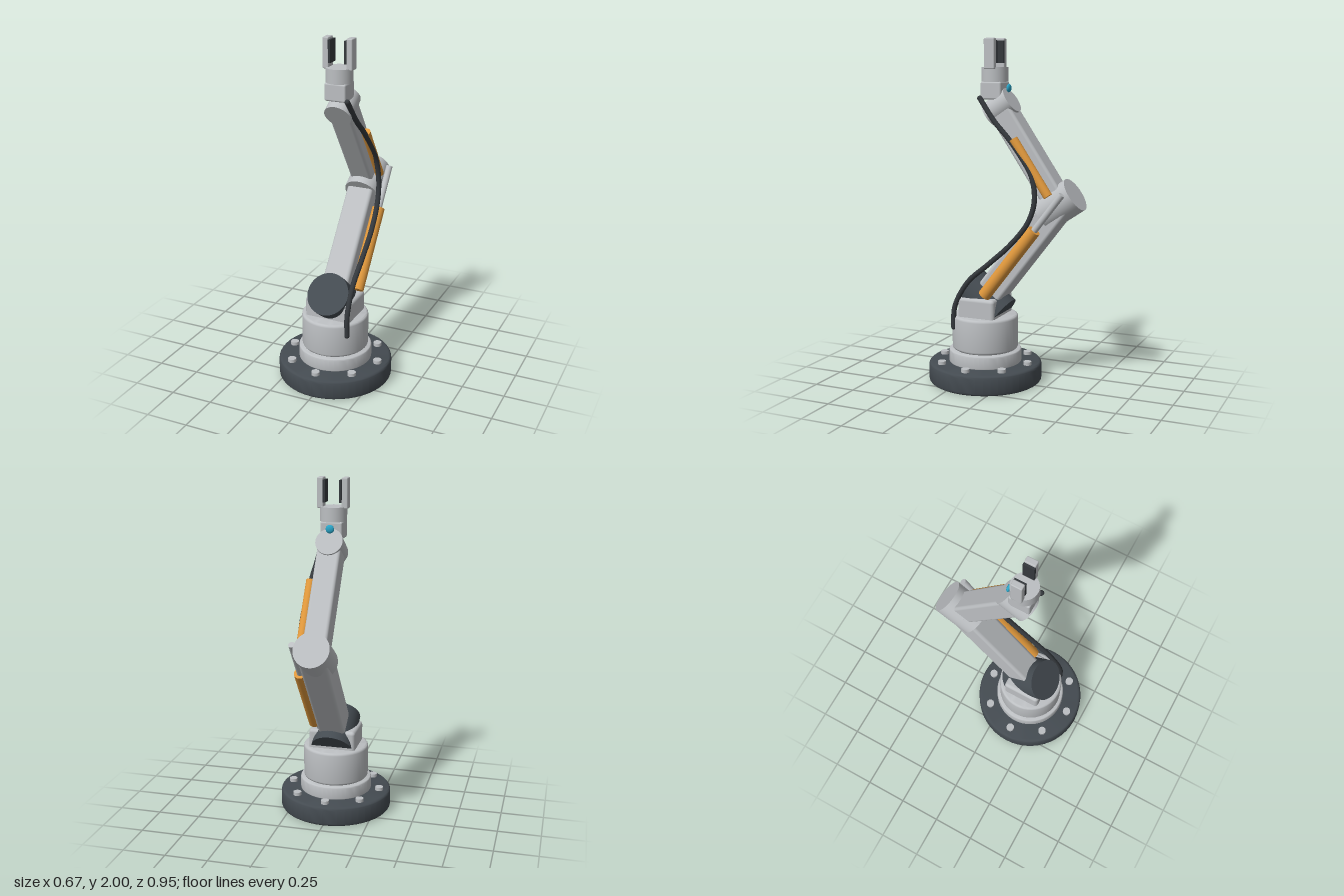
import * as THREE from 'three';
import { toCreasedNormals } from 'three/addons/utils/BufferGeometryUtils.js';
import { RoundedBoxGeometry } from 'three/addons/geometries/RoundedBoxGeometry.js';

const material = (name, color) => {
  const m = new THREE.MeshStandardMaterial({ color });
  m.name = name;
  return m;
};

export function createModel() {
  const lightGrey = material('light grey', 0xbcbfc2);
  const darkGrey = material('dark grey', 0x444b51);
  const rubber = material('black rubber', 0x34383c);
  const orange = material('orange', 0xe0983c);
  const blue = material('blue', 0x2aa5c8);

  const root = new THREE.Group();
  root.name = 'robotArm';

  const add = (parent, name, geometry, mat, x = 0, y = 0, z = 0) => {
    const mesh = new THREE.Mesh(geometry, mat);
    mesh.name = name;
    mesh.position.set(x, y, z);
    parent.add(mesh);
    return mesh;
  };

  // Disc with rounded rims, standing on y = 0
  const roundedDisc = (r, h, bevel) => {
    const points = [new THREE.Vector2(0, 0)];
    for (let i = 0; i <= 4; i++) {
      const a = (i / 4) * Math.PI / 2;
      points.push(new THREE.Vector2(r - bevel + bevel * Math.sin(a), bevel - bevel * Math.cos(a)));
    }
    for (let i = 0; i <= 4; i++) {
      const a = (i / 4) * Math.PI / 2;
      points.push(new THREE.Vector2(r - bevel + bevel * Math.cos(a), h - bevel + bevel * Math.sin(a)));
    }
    points.push(new THREE.Vector2(0, h));
    return toCreasedNormals(new THREE.LatheGeometry(points, 48), 0.6);
  };

  // Cylinder running from y0 to y1
  const rod = (parent, name, r, y0, y1, mat, x = 0, z = 0) =>
    add(parent, name, new THREE.CylinderGeometry(r, r, y1 - y0, 32), mat, x, (y0 + y1) / 2, z);

  // Joint barrel lying along local z
  const barrel = (parent, name, r, length, mat, y = 0) => {
    const mesh = add(parent, name, new THREE.CylinderGeometry(r, r, length, 40), mat, 0, y, 0);
    mesh.rotation.x = Math.PI / 2;
  };

  // Base, bolts and turntable
  const cz = 0.14;
  add(root, 'base', roundedDisc(0.333, 0.12, 0.02), darkGrey, 0, 0, cz);
  add(root, 'turntableRing', roundedDisc(0.214, 0.085, 0.012), lightGrey, 0, 0.112, cz);
  add(root, 'turret', roundedDisc(0.194, 0.205, 0.016), lightGrey, 0, 0.197, cz);
  for (let i = 0; i < 8; i++) {
    const a = (i / 8) * Math.PI * 2;
    rod(root, 'baseBolt', 0.024, 0.11, 0.14, lightGrey, 0.27 * Math.cos(a), cz + 0.27 * Math.sin(a));
  }
  add(root, 'shoulderMount', new RoundedBoxGeometry(0.28, 0.145, 0.23, 3, 0.02), lightGrey, 0, 0.443, cz);

  // Arm segments, each with local y along its length
  const shoulder = new THREE.Vector3(0, 0.476, 0.14);
  const elbow = new THREE.Vector3(0, 1.077, -0.324);
  const wrist = new THREE.Vector3(0, 1.612, 0.035);
  const segment = (name, from, to) => {
    const group = new THREE.Group();
    group.name = name;
    group.position.copy(from);
    group.rotation.x = Math.atan2(to.z - from.z, to.y - from.y);
    root.add(group);
    return [group, from.distanceTo(to)];
  };

  const [upperArm, upperLength] = segment('upperArm', shoulder, elbow);
  add(upperArm, 'upperArmBeam', new RoundedBoxGeometry(0.16, upperLength + 0.02, 0.16, 3, 0.02),
    lightGrey, 0, upperLength / 2 + 0.01, 0);
  barrel(upperArm, 'shoulderJoint', 0.125, 0.255, darkGrey);
  rod(upperArm, 'lowerPiston', 0.037, 0.08, 0.585, orange, 0.118);
  rod(upperArm, 'lowerPistonRod', 0.019, 0.5, 0.85, lightGrey, 0.118);

  const [forearm, foreLength] = segment('forearm', elbow, wrist);
  add(forearm, 'forearmBeam', new RoundedBoxGeometry(0.136, foreLength, 0.136, 3, 0.018),
    lightGrey, 0, foreLength / 2, 0);
  barrel(forearm, 'elbowJoint', 0.102, 0.22, lightGrey);
  barrel(forearm, 'wristJoint', 0.078, 0.16, lightGrey, foreLength);
  rod(forearm, 'upperPiston', 0.026, 0.065, 0.44, orange, 0.092);

  // Wrist, status lamp and gripper
  const hz = 0.075;
  add(root, 'wristBlock', new RoundedBoxGeometry(0.126, 0.1, 0.126, 3, 0.01), lightGrey, 0, 1.708, hz);
  rod(root, 'gripperMount', 0.076, 1.757, 1.838, lightGrey, 0, hz);
  add(root, 'statusLamp', new THREE.SphereGeometry(0.024, 24, 16), blue, 0, 1.722, -0.012).scale.z = 0.5;
  for (const s of [-1, 1]) {
    add(root, 'gripperFinger', new RoundedBoxGeometry(0.035, 0.172, 0.064, 2, 0.006),
      lightGrey, s * 0.07, 1.914, hz - 0.002);
    add(root, 'gripperPad', new THREE.BoxGeometry(0.014, 0.125, 0.066), rubber, s * 0.047, 1.924, hz - 0.002);
  }

  // Cable looping along the left side
  const path = new THREE.CatmullRomCurve3([
    [0.138, 0.335, 0.28], [0.136, 0.46, 0.272], [0.134, 0.61, 0.19], [0.134, 0.727, 0.058],
    [0.132, 0.85, -0.078], [0.125, 0.98, -0.18], [0.118, 1.1, -0.217], [0.11, 1.235, -0.198],
    [0.103, 1.35, -0.127], [0.095, 1.447, -0.048], [0.085, 1.54, 0.042], [0.074, 1.665, 0.135],
  ].map(p => new THREE.Vector3(...p)));
  add(root, 'cable', new THREE.TubeGeometry(path, 90, 0.015, 12), rubber);
  for (const t of [0, 1]) {
    add(root, 'cableEnd', new THREE.SphereGeometry(0.015, 12, 8), rubber, ...path.getPoint(t).toArray());
  }

  return root;
}
